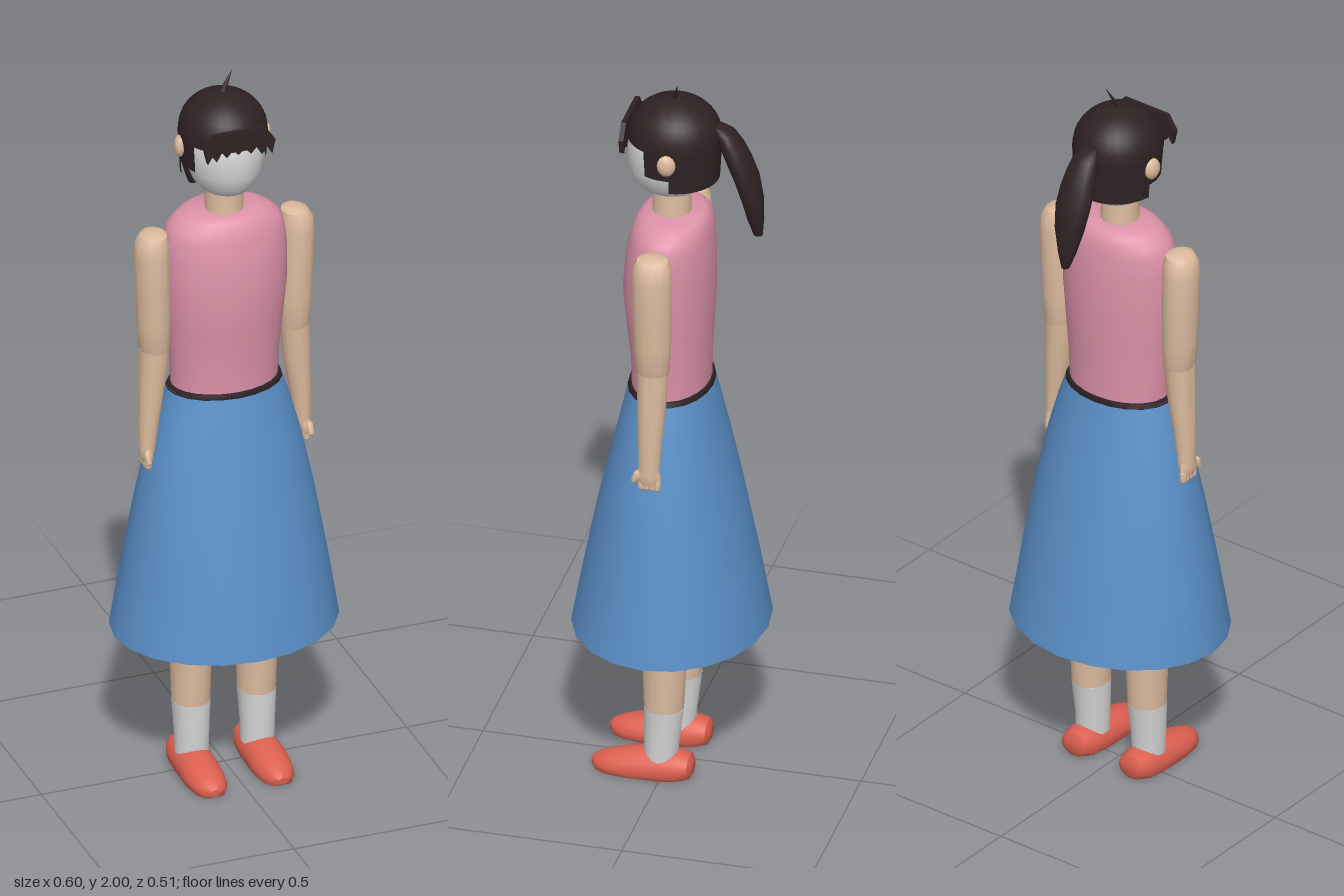
import * as THREE from 'three';
import { toCreasedNormals } from 'three/addons/utils/BufferGeometryUtils.js';

const mat = (name, color, side = THREE.FrontSide) => {
  const m = new THREE.MeshStandardMaterial({ color, side });
  m.name = name;
  return m;
};

// Skin over horizontal ellipses [y, rx, rz, cx, cz], listed from bottom to top
function loft(sections, n = 20, capped = true) {
  const pos = [], idx = [], rows = sections.length;
  for (const [y, rx, rz, cx = 0, cz = 0] of sections) {
    for (let i = 0; i < n; i++) {
      const a = (i / n) * Math.PI * 2 + Math.PI / 2;
      pos.push(cx + rx * Math.cos(a), y, cz + rz * Math.sin(a));
    }
  }
  for (let j = 0; j < rows - 1; j++) {
    for (let i = 0; i < n; i++) {
      const k = (i + 1) % n, a = j * n + i, b = j * n + k, c = a + n, d = b + n;
      idx.push(a, c, b, b, c, d);
    }
  }
  if (capped) {
    const top = (rows - 1) * n, centre = rows * n;
    for (const s of [sections[0], sections[rows - 1]]) pos.push(s[3] || 0, s[0], s[4] || 0);
    for (let i = 0; i < n; i++) {
      const k = (i + 1) % n;
      idx.push(centre, i, k, centre + 1, top + k, top + i);
    }
  }
  const g = new THREE.BufferGeometry();
  g.setAttribute('position', new THREE.Float32BufferAttribute(pos, 3));
  g.setIndex(idx);
  return g;
}

export function createModel() {
  const model = new THREE.Group();
  model.name = 'woman';
  const skin = mat('skin', 0xdcbb9e);
  const white = mat('white', 0xd4d4d4);
  const hair = mat('dark hair', 0x2e2223, THREE.DoubleSide);
  const pink = mat('pink', 0xdd92a8);
  const blue = mat('blue', 0x5a8fc7, THREE.DoubleSide);
  const red = mat('red', 0xdd6050);

  const add = (name, geometry, material, parent = model) => {
    const mesh = new THREE.Mesh(toCreasedNormals(geometry, 0.75), material);
    mesh.name = name;
    parent.add(mesh);
    return mesh;
  };

  // Clothes
  add('skirt', loft([
    [0.42, 0.3, 0.255], [0.6, 0.272, 0.222], [0.8, 0.237, 0.182],
    [0.95, 0.205, 0.147], [1.05, 0.177, 0.124], [1.12, 0.153, 0.108],
  ], 20, false), blue);
  add('belt', loft([[1.105, 0.15, 0.106], [1.115, 0.155, 0.11], [1.127, 0.15, 0.106]]), hair);
  add('top', loft([
    [1.1, 0.142, 0.1], [1.2, 0.145, 0.102], [1.3, 0.155, 0.11, 0, 0.003],
    [1.4, 0.164, 0.117, 0, 0.005], [1.5, 0.166, 0.113, 0, 0.002], [1.56, 0.161, 0.105, 0, -0.002],
    [1.59, 0.148, 0.098, 0, -0.004], [1.61, 0.122, 0.088, 0, -0.006], [1.62, 0.095, 0.075, 0, -0.008],
  ], 24), pink);

  // Neck and head
  add('neck', loft([[1.58, 0.052, 0.052], [1.71, 0.047, 0.048]], 16), skin);
  add('head', loft([
    [1.677, 0.04, 0.048, 0, 0.005], [1.69, 0.064, 0.076, 0, 0.004], [1.715, 0.084, 0.098, 0, 0.004],
    [1.75, 0.097, 0.109, 0, 0.003], [1.8, 0.104, 0.114, 0, 0.001], [1.85, 0.1, 0.108], [1.91, 0.06, 0.065],
  ], 24), white);

  // Hair: dome, stepped sides and back, fringe, tuft and ponytail
  const hairGroup = new THREE.Group();
  hairGroup.name = 'hair';
  model.add(hairGroup);
  const dome = new THREE.SphereGeometry(1, 28, 10, 0, Math.PI * 2, 0, Math.PI / 2);
  const dp = dome.attributes.position;
  for (let i = 0; i < dp.count; i++) {
    // slightly squared dome
    const y = dp.getY(i), f = 1 + 0.22 * y * y * (1 - y);
    dp.setXYZ(i, dp.getX(i) * 0.115 * f, 1.835 + y * 0.115, dp.getZ(i) * 0.122 * f - 0.008);
  }
  add('hairDome', dome, hair, hairGroup);
  for (const [name, bottom, start] of [['hairSides', 1.76, 62], ['hairBack', 1.725, 96]]) {
    const t = THREE.MathUtils.degToRad(start), h = 1.838 - bottom;
    const g = new THREE.CylinderGeometry(1, 0.95, h, 24, 1, true, t, Math.PI * 2 - 2 * t);
    g.scale(0.115, 1, 0.122).translate(0, bottom + h / 2, -0.008);
    add(name, g, hair, hairGroup);
  }
  const fringe = new THREE.Shape();
  fringe.moveTo(-0.07, 1.895);
  const edge = [[-0.097, 1.855], [-0.088, 1.815], [-0.076, 1.835], [-0.064, 1.818], [-0.05, 1.842],
    [-0.036, 1.825], [-0.02, 1.843], [-0.004, 1.828], [0.012, 1.845], [0.03, 1.825], [0.045, 1.842],
    [0.06, 1.818], [0.074, 1.838], [0.088, 1.815], [0.097, 1.855], [0.07, 1.895]];
  for (const [x, y] of edge) fringe.lineTo(x, y);
  add('fringe', new THREE.ExtrudeGeometry(fringe, { depth: 0.013, bevelEnabled: false })
    .translate(0, 0, 0.103), hair, hairGroup);
  add('tuft', loft([
    [1.935, 0.012, 0.006, -0.002, -0.005], [1.965, 0.008, 0.004, 0.008, -0.012], [2, 0.0005, 0.0005, 0.03, -0.022],
  ], 6), hair, hairGroup);
  add('ponytail', loft([
    [1.575, 0.01, 0.012, 0, -0.228], [1.62, 0.026, 0.021, 0, -0.222], [1.68, 0.042, 0.028, 0, -0.213],
    [1.74, 0.05, 0.032, 0, -0.198], [1.79, 0.048, 0.034, 0, -0.178], [1.83, 0.042, 0.033, 0, -0.16],
    [1.865, 0.034, 0.026, 0, -0.142], [1.882, 0.02, 0.015, 0, -0.125],
  ], 16), hair, hairGroup);

  // Paired parts
  for (const [side, s] of [['left', 1], ['right', -1]]) {
    const part = (name, sections, material, n = 14) =>
      add(side + name, loft(sections.map(([y, rx, rz, cx, cz]) => [y, rx, rz, s * cx, cz]), n), material);

    add(side + 'Ear', new THREE.SphereGeometry(1, 12, 8).scale(0.014, 0.03, 0.024)
      .rotateY(s * 0.2).translate(s * 0.116, 1.81, -0.015), skin);

    // Arm
    part('UpperArm', [
      [1.235, 0.036, 0.04, 0.191, 0], [1.25, 0.041, 0.044, 0.192, 0], [1.32, 0.044, 0.049, 0.193, 0],
      [1.42, 0.045, 0.052, 0.196, 0], [1.52, 0.046, 0.053, 0.198, 0], [1.555, 0.043, 0.05, 0.197, 0],
      [1.575, 0.034, 0.041, 0.193, 0], [1.582, 0.018, 0.022, 0.191, 0],
    ], skin);
    part('Forearm', [
      [0.955, 0.021, 0.027, 0.213, 0.004], [1.05, 0.028, 0.032, 0.207, 0.003],
      [1.15, 0.036, 0.038, 0.198, 0.001], [1.245, 0.04, 0.042, 0.192, 0],
    ], skin);

    // Hand with curled fingers and a thumb
    part('Palm', [
      [0.925, 0.014, 0.028, 0.214, 0.004], [0.945, 0.018, 0.034, 0.216, 0.006], [0.972, 0.018, 0.026, 0.214, 0.004],
    ], skin, 10);
    for (let i = 0; i < 4; i++) {
      add(side + 'Finger', new THREE.CapsuleGeometry(0.009, 0.022, 3, 8)
        .translate(s * 0.217, 0.925, -0.018 + i * 0.014), skin);
    }
    add(side + 'Thumb', new THREE.CapsuleGeometry(0.009, 0.022, 3, 8)
      .rotateX(-0.4).translate(s * 0.222, 0.945, 0.037), skin);

    // Leg and sock
    part('Thigh', [
      [0.51, 0.056, 0.06, 0.09, -0.003], [0.7, 0.064, 0.07, 0.088, 0], [0.95, 0.068, 0.078, 0.08, 0],
    ], skin, 16);
    part('Shin', [
      [0.2, 0.05, 0.052, 0.09, -0.003], [0.3, 0.053, 0.057, 0.09, -0.004], [0.42, 0.055, 0.059, 0.09, -0.004],
      [0.52, 0.054, 0.058, 0.09, -0.003],
    ], skin, 16);
    part('Sock', [
      [0.05, 0.044, 0.044, 0.09, 0.004], [0.1, 0.045, 0.046, 0.09, 0.003], [0.2, 0.0505, 0.0525, 0.09, -0.003],
    ], white, 16);

    // Shoe: sections run from heel to toe, flattened on the ground
    const shoe = loft([
      [-0.08, 0.025, 0.02, 0, -0.032], [-0.072, 0.04, 0.034, 0, -0.033], [-0.045, 0.049, 0.046, 0, -0.028],
      [0, 0.051, 0.052, 0, -0.023], [0.05, 0.053, 0.052, 0, -0.021], [0.1, 0.053, 0.046, 0, -0.016],
      [0.145, 0.045, 0.036, 0, -0.014], [0.172, 0.03, 0.025, 0, -0.014], [0.185, 0.012, 0.01, 0, -0.018],
    ], 18).rotateX(Math.PI / 2);
    const sp = shoe.attributes.position;
    for (let i = 0; i < sp.count; i++) sp.setY(i, Math.max(0, sp.getY(i)));
    add(side + 'Shoe', shoe.translate(s * 0.092, 0, 0), red);
  }
  return model;
}
